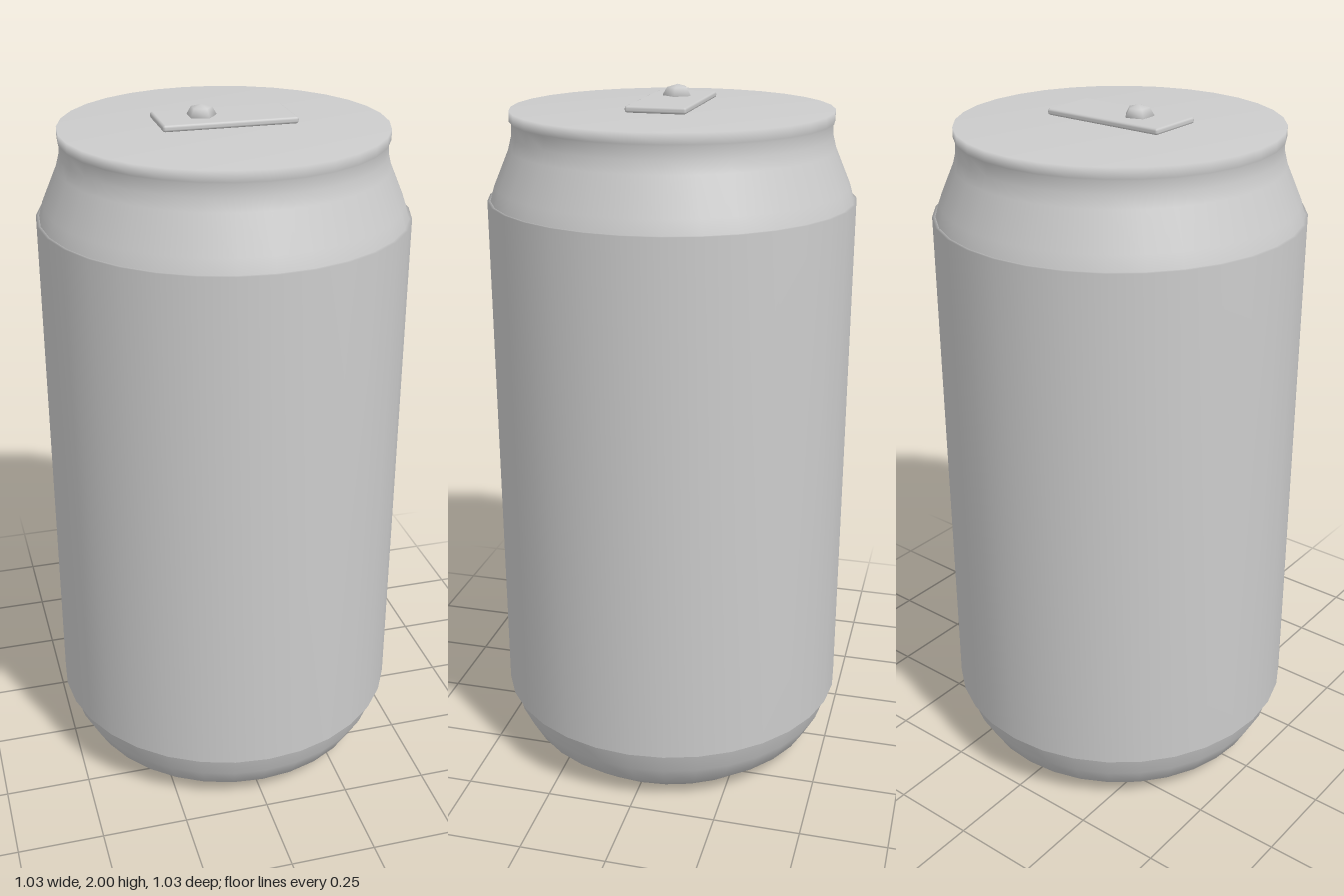
import * as THREE from 'three';
import { RoundedBoxGeometry } from 'three/addons/geometries/RoundedBoxGeometry.js';

const SIDES = 32;

export function createModel() {
  const can = new THREE.Group();
  can.name = 'drinkCan';
  const metal = new THREE.MeshStandardMaterial({ color: 0xcccccc });
  metal.name = 'bareMetal';

  const add = (name, geometry, x = 0, y = 0, z = 0) => {
    const mesh = new THREE.Mesh(geometry, metal);
    mesh.name = name;
    mesh.position.set(x, y, z);
    can.add(mesh);
    return mesh;
  };
  // Smooth turned part from [radius, height] pairs, bottom to top
  const turned = (profile) =>
    new THREE.LatheGeometry(profile.map(([r, y]) => new THREE.Vector2(r, y)), SIDES);

  // Closed base with its tapered foot
  add('base', turned([[0, 0], [0.378, 0], [0.452, 0.06], [0.488, 0.125], [0.507, 0.2]]));

  // Straight wall, standing slightly proud of base and neck
  add('body', turned([[0.5, 0.19], [0.515, 0.19], [0.515, 1.7], [0.5, 1.7]]));

  // Shoulder, groove, rolled rim and flat lid
  add('neckAndLid', turned([
    [0.509, 1.69], [0.495, 1.74], [0.452, 1.84], [0.443, 1.875], [0.441, 1.908],
    [0.447, 1.914], [0.447, 1.943], [0, 1.943],
  ]));

  // Pull tab held by a small five-sided rivet
  add('pullTab', new RoundedBoxGeometry(0.37, 0.018, 0.168, 1, 0.007), 0, 1.96, 0);
  const rivet = add('rivet', new THREE.SphereGeometry(0.042, 5, 4), -0.062, 1.971, 0);
  rivet.scale.y = 0.69;
  rivet.rotation.y = Math.PI;

  return can;
}
